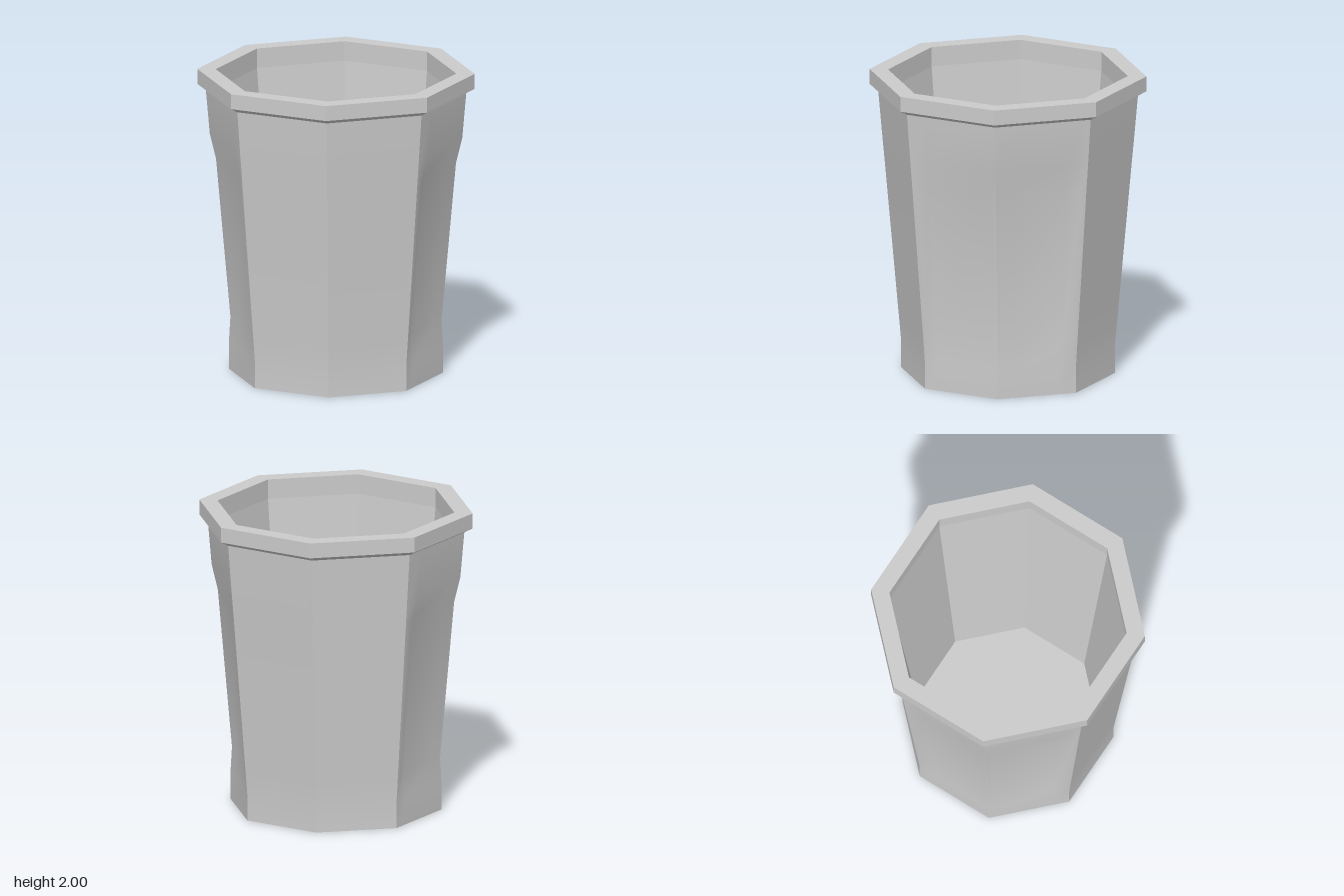
import * as THREE from 'three';
import { toCreasedNormals } from 'three/addons/utils/BufferGeometryUtils.js';

const SIDES = 8;
const material = new THREE.MeshStandardMaterial({ color: 0xcccccc });

// Corner k of the octagon, corners lying on the axes
function corner(k, r) {
  const a = (k * Math.PI * 2) / SIDES;
  return new THREE.Vector2(Math.sin(a) * r, Math.cos(a) * r);
}

// Tapered octagonal wall with a shallow pressed panel around the +x and -x corners
function wallGeometry() {
  // height, radius, panel depth
  const levels = [
    [0, 0.695, 0], [0.18, 0.695, 0], [0.35, 0.71, 0.025],
    [1.4, 0.803, 0.025], [1.57, 0.819, 0], [1.87, 0.845, 0],
  ];
  const fractions = [0, 0.05, 0.2, 0.8, 0.95];
  const columns = SIDES * fractions.length;
  const positions = [];
  const indices = [];
  for (const [y, r, depth] of levels) {
    for (let k = 0; k < SIDES; k++) {
      for (const f of fractions) {
        const p = corner(k, r).lerp(corner(k + 1, r), f);
        const t = k + f;
        const fromSide = Math.min(Math.abs(t - 2), Math.abs(t - 6));
        if (fromSide < 0.81) p.x -= Math.sign(p.x) * depth;
        positions.push(p.x, y, p.y);
      }
    }
  }
  for (let j = 0; j < levels.length - 1; j++) {
    for (let i = 0; i < columns; i++) {
      const a = j * columns + i;
      const b = j * columns + ((i + 1) % columns);
      indices.push(a, b, b + columns, a, b + columns, a + columns);
    }
  }
  const geometry = new THREE.BufferGeometry();
  geometry.setAttribute('position', new THREE.Float32BufferAttribute(positions, 3));
  geometry.setIndex(indices);
  return toCreasedNormals(geometry, 0.5);
}

// Eight-sided surface turned from a profile of [radius, height]
function turned(profile) {
  const points = profile.map(([r, y]) => new THREE.Vector2(r, y));
  return toCreasedNormals(new THREE.LatheGeometry(points, SIDES), 0.05);
}

export function createModel() {
  const group = new THREE.Group();
  group.name = 'pot';
  const add = (name, geometry) => {
    const mesh = new THREE.Mesh(geometry, material);
    mesh.name = name;
    group.add(mesh);
    return mesh;
  };

  add('outerWall', wallGeometry());

  // Overhanging rim with a bevelled underside
  add('rim', turned([[0.845, 1.87], [0.9, 1.9], [0.9, 2], [0.78, 2], [0.78, 1.87]]));

  // Tapered inside
  add('innerWall', turned([[0.78, 1.87], [0.6, 0.1]]));

  // Inside floor and underside; the circle is symmetric so its corners meet the walls
  const floor = add('innerFloor', new THREE.CircleGeometry(0.6, SIDES));
  floor.rotation.x = -Math.PI / 2;
  floor.position.y = 0.1;
  const base = add('base', new THREE.CircleGeometry(0.695, SIDES));
  base.rotation.x = Math.PI / 2;

  return group;
}
